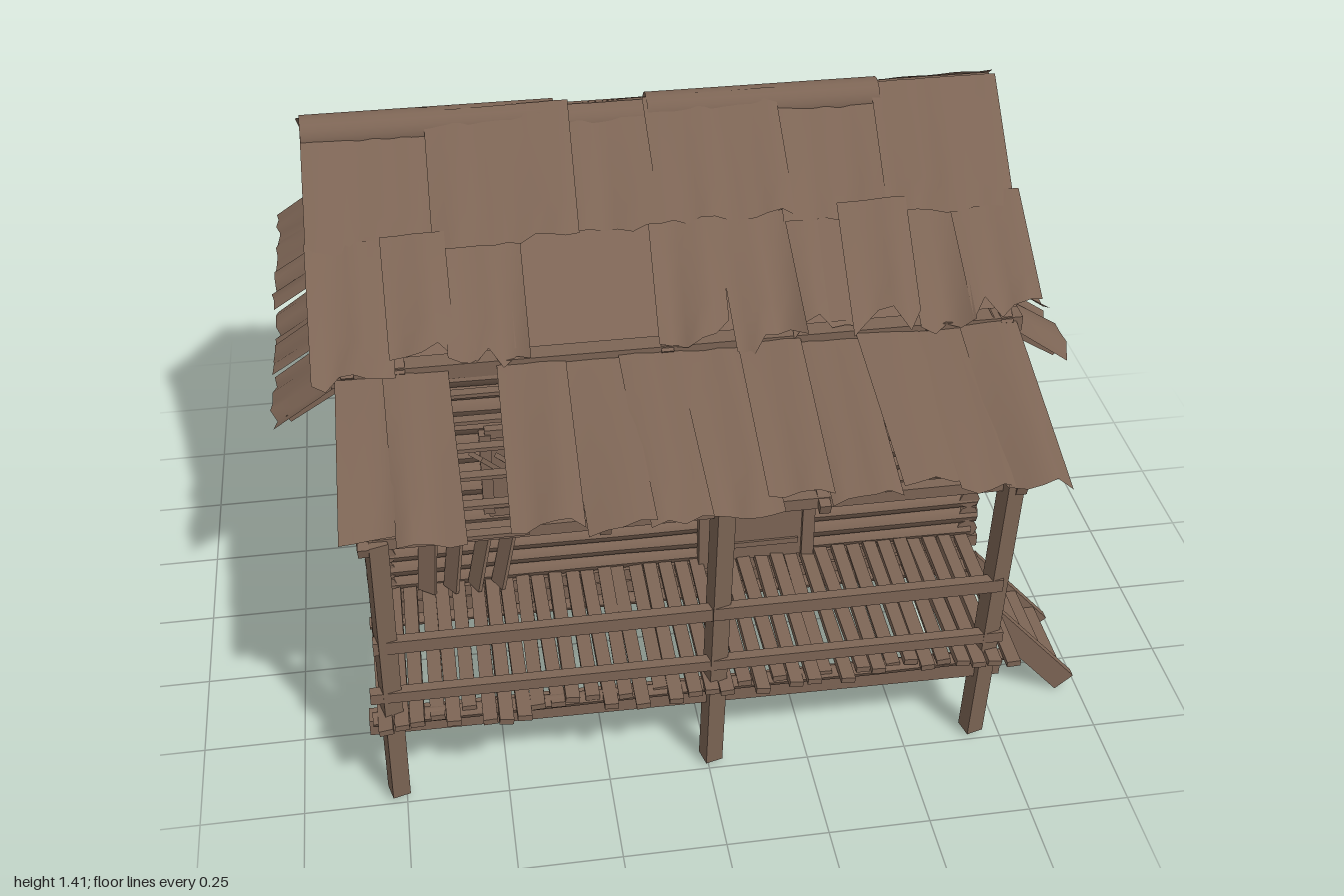
import * as THREE from 'three';

const V = (x, y, z) => new THREE.Vector3(x, y, z);

export function createModel() {
  const root = new THREE.Group();
  root.name = 'stiltCabin';
  const wood = new THREE.MeshStandardMaterial({ color: 0x7d6555, side: THREE.DoubleSide });
  wood.name = 'weatheredBrown';

  let seed = 11;
  const rnd = () => (seed = (seed * 16807) % 2147483647) / 2147483647;
  const jit = (a) => (rnd() * 2 - 1) * a;

  const group = (name, parent = root) => {
    const g = new THREE.Group();
    g.name = name;
    parent.add(g);
    return g;
  };
  const add = (parent, name, geo) => {
    const m = new THREE.Mesh(geo, wood);
    m.name = name;
    parent.add(m);
    return m;
  };
  const box = (parent, name, x0, x1, y0, y1, z0, z1) => {
    const m = add(parent, name, new THREE.BoxGeometry(x1 - x0, y1 - y0, z1 - z0));
    m.position.set((x0 + x1) / 2, (y0 + y1) / 2, (z0 + z1) / 2);
    return m;
  };
  // squared timber between two points
  const beam = (parent, name, a, b, w, h = w) => {
    const m = add(parent, name, new THREE.BoxGeometry(w, h, a.distanceTo(b)));
    m.position.copy(a).add(b).multiplyScalar(0.5);
    m.lookAt(b);
    return m;
  };
  // rough round log between two points, with uneven rings
  const log = (parent, name, a, b, r) => {
    const geo = new THREE.CylinderGeometry(r, r, a.distanceTo(b), 8, 5);
    const p = geo.attributes.position, scale = {};
    for (let i = 0; i < p.count; i++) {
      const key = p.getY(i).toFixed(3);
      scale[key] ??= 1 + jit(0.14);
      p.setX(i, p.getX(i) * scale[key]);
      p.setZ(i, p.getZ(i) * scale[key]);
    }
    geo.computeVertexNormals();
    const m = add(parent, name, geo);
    m.position.copy(a).add(b).multiplyScalar(0.5);
    m.quaternion.setFromUnitVectors(V(0, 1, 0), b.clone().sub(a).normalize());
    return m;
  };
  // warped sheet from a top corner, an across vector and a down vector
  const sheet = (parent, name, o, across, down, { warp = 0.012, ragged = 0.08, lift = 0 } = {}) => {
    const nx = Math.max(4, Math.round(across.length() / 0.035)), ny = 4;
    const geo = new THREE.PlaneGeometry(1, 1, nx, ny);
    const p = geo.attributes.position;
    const n = down.clone().cross(across).normalize();
    const cut = [], wave = [];
    for (let i = 0; i <= nx; i++) { cut.push(1 - rnd() * ragged); wave.push(jit(warp)); }
    for (let i = 0; i < p.count; i++) {
      const col = i % (nx + 1), v = 0.5 - p.getY(i), u = p.getX(i) + 0.5;
      const q = o.clone().addScaledVector(across, u).addScaledVector(down, v * cut[col]);
      q.addScaledVector(n, lift + wave[col] * (0.2 + v));
      p.setXYZ(i, q.x, q.y, q.z);
    }
    geo.computeVertexNormals();
    return add(parent, name, geo);
  };
  // row of overlapping sheets along x; section gives the top and bottom as [z, y]
  const roofRow = (name, xs, [z0, y0], [z1, y1], opts, skip = []) => {
    const g = group(name);
    for (let i = 0; i + 1 < xs.length; i++) {
      const k = 1 + jit(0.06), w = xs[i + 1] - xs[i] + 0.015;
      const down = V(jit(0.015), (y1 - y0) * k, (z1 - z0) * k);
      if (skip.includes(i)) continue;
      const sgn = z1 > z0 ? 1 : -1;
      const m = sheet(g, 'roofSheet', V(sgn > 0 ? xs[i] : xs[i] + w, y0, z0), V(sgn * w, jit(0.008), 0), down,
        { ...opts, lift: 0.008 + 0.009 * (i % 2) });
      m.position.y = rnd() * 0.004;
    }
    return g;
  };

  // Cabin body and log walls
  const cabin = group('cabin');
  box(cabin, 'cabinCore', -0.76, 0.76, 0.285, 0.98, -0.665, 0.285);
  for (let i = 0; i < 14; i++) {
    const y = 0.325 + i * 0.0475, e = () => 0.775 + jit(0.012), r = 0.028;
    log(cabin, 'frontLog', V(-e(), y + jit(0.005), 0.285), V(e(), y + jit(0.005), 0.285), r);
    log(cabin, 'backLog', V(-e(), y + jit(0.005), -0.665), V(e(), y + jit(0.005), -0.665), r);
    for (const s of [-1, 1])
      log(cabin, 'sideLog', V(s * 0.76, y + jit(0.005), 0.31), V(s * 0.76, y + jit(0.005), -0.69), r);
  }
  for (const z of [0.29, -0.67]) box(cabin, 'longSill', -0.79, 0.79, 0.27, 0.305, z - 0.025, z + 0.025);
  for (const x of [-0.765, 0.765]) box(cabin, 'shortSill', x - 0.025, x + 0.025, 0.27, 0.305, -0.695, 0.315);
  for (const z of [0.29, -0.6]) box(cabin, 'wallPlate', -0.84, 0.84, 0.95, 0.99, z - 0.025, z + 0.025);

  // Boarded windows, built facing +z
  const boardedWindow = (name, x, y, z, turn, w = 0.25, h = 0.24) => {
    const g = group(name);
    g.position.set(x, y, z);
    g.rotation.y = turn;
    for (const s of [-1, 1]) {
      box(g, 'jamb', s * w / 2 - 0.014, s * w / 2 + 0.014, -h / 2, h / 2, -0.02, 0.018);
      box(g, 'rail', -w / 2, w / 2, s * h / 2 - 0.012, s * h / 2 + 0.012, -0.02, 0.014);
    }
    box(g, 'pane', -w / 2, w / 2, -h / 2, h / 2, -0.02, -0.004);
    for (let i = 0; i < 4; i++) {
      const px = (i - 1.5) * w * 0.22;
      beam(g, 'board', V(px + jit(0.015), -h / 2 + jit(0.015), 0.012), V(px + jit(0.015), h / 2 + jit(0.015), 0.016), w * 0.17, 0.012);
    }
  };
  boardedWindow('frontWindow', -0.365, 0.67, 0.32, 0);
  for (const x of [-0.35, 0.35]) boardedWindow('backWindow', x, 0.67, -0.7, Math.PI);
  boardedWindow('leftWindow', -0.795, 0.67, -0.19, -Math.PI / 2, 0.32);
  for (let i = 0; i < 4; i++)
    beam(cabin, 'patchBoard', V(-0.66 + i * 0.06, 0.32, 0.34), V(-0.64 + i * 0.06 + jit(0.02), 0.5 + jit(0.03), 0.32), 0.05, 0.01);

  // Front door
  const frontDoor = group('frontDoor');
  box(frontDoor, 'doorLeaf', 0.07, 0.31, 0.31, 0.79, 0.3, 0.322);
  for (const x of [0.055, 0.325]) box(frontDoor, 'doorJamb', x - 0.016, x + 0.016, 0.3, 0.8, 0.29, 0.335);
  box(frontDoor, 'doorLintel', 0.04, 0.34, 0.78, 0.812, 0.29, 0.335);
  for (const y of [0.36, 0.6, 0.75]) box(frontDoor, 'doorBatten', 0.08, 0.3, y - 0.008, y + 0.008, 0.32, 0.328);
  box(frontDoor, 'doorHandle', 0.085, 0.1, 0.52, 0.56, 0.32, 0.34);

  // Side door: frame and a leaf bent outward at the bottom
  const sideDoor = group('sideDoor');
  for (const z of [-0.03, -0.335]) box(sideDoor, 'doorJamb', 0.75, 0.805, 0.29, 0.82, z - 0.02, z + 0.02);
  box(sideDoor, 'doorLintel', 0.75, 0.805, 0.785, 0.825, -0.355, -0.01);
  sheet(sideDoor, 'doorLeaf', V(0.792, 0.79, -0.045), V(0, 0, -0.275), V(0.016, -0.47, 0), { warp: 0.003, ragged: 0.01 });

  // Stilts and under-floor beams
  const stilts = group('stilts');
  for (const x of [-0.77, -0.07, 0.68])
    for (const z of [-0.165, -0.625]) box(stilts, 'stilt', x - 0.022, x + 0.022, 0.035, 0.3, z - 0.023, z + 0.023);
  beam(stilts, 'frontBeam', V(-0.82, 0.255, 0.715), V(0.73, 0.235, 0.715), 0.045);
  beam(stilts, 'middleBeam', V(-0.8, 0.245, 0.3), V(0.76, 0.235, 0.3), 0.04, 0.06);
  beam(stilts, 'rearBeam', V(-0.78, 0.262, -0.165), V(0.78, 0.262, -0.165), 0.04);

  // Porch deck of uneven planks
  const porch = group('porch');
  for (let i = 0; i < 38; i++) {
    const x = -0.785 + i * 0.0412, y = 0.298 + jit(0.006);
    const m = beam(porch, 'deckPlank', V(x + jit(0.006), y + 0.008, 0.3), V(x + jit(0.006), y + jit(0.01), 0.78 + jit(0.03)), 0.034, 0.016);
    m.rotateZ(jit(0.15));
  }
  for (const z of [0.4, 0.74]) log(porch, 'deckJoist', V(-0.81, 0.285, z), V(0.74, 0.28, z), 0.016);

  // Porch posts, rails and pickets
  for (const x of [-0.765, 0.012, 0.685])
    beam(porch, 'porchPost', V(x - 0.003, 0.015, 0.715), V(x + 0.008, 0.84, 0.755), 0.044);
  beam(porch, 'lowerRail', V(-0.81, 0.365, 0.745), V(0.72, 0.355, 0.745), 0.026, 0.03);
  beam(porch, 'upperRailLeft', V(-0.79, 0.525, 0.75), V(0.03, 0.525, 0.75), 0.026, 0.036);
  beam(porch, 'upperRailRight', V(0.0, 0.53, 0.755), V(0.7, 0.53, 0.755), 0.026, 0.036);
  beam(porch, 'sideRail', V(-0.775, 0.51, 0.32), V(-0.775, 0.525, 0.74), 0.024, 0.034);
  for (let i = 0; i < 6; i++) {
    const z = 0.37 + i * 0.062;
    beam(porch, 'picket', V(-0.78, 0.31, z - 0.01), V(-0.78 + jit(0.01), 0.59 + jit(0.02), z + i * 0.007), 0.02);
  }
  beam(porch, 'cornerPicket', V(-0.765, 0.31, 0.325), V(-0.765, 0.8, 0.325), 0.024);

  // Ladder at the end of the porch
  const ladder = group('ladder');
  for (const z of [0.37, 0.595]) beam(ladder, 'ladderSide', V(0.75, 0.27, z), V(0.965, 0.025, z), 0.024, 0.06);
  for (const y of [0.08, 0.145, 0.21]) {
    const x = 0.75 + (0.27 - y) * 0.88;
    box(ladder, 'rung', x - 0.03, x + 0.03, y - 0.01, y + 0.01, 0.37, 0.595);
  }

  // Rafters, ridge beam and tails
  const frame = group('roofFrame');
  for (const x of [-0.8, -0.68, -0.04, 0.61, 0.8]) {
    const tail = Math.abs(x) < 0.79 ? 0.04 : 0;
    beam(frame, 'frontRafter', V(x, 1.355, -0.2), V(x, 0.965, 0.31), 0.03, 0.04);
    beam(frame, 'backRafter', V(x, 1.355, -0.18), V(x, 0.92 - tail * 0.5, -0.775 - tail), 0.03, 0.04);
  }
  box(frame, 'ridgeBeam', -0.84, 0.84, 1.335, 1.37, -0.215, -0.175);
  for (const x of [-0.785, -0.25, 0.25, 0.71]) beam(frame, 'porchRafter', V(x, 0.945, 0.3), V(x, 0.825, 0.78), 0.026);
  beam(frame, 'porchPlate', V(-0.8, 0.83, 0.745), V(0.74, 0.83, 0.745), 0.03);
  for (let i = 0; i < 6; i++) {
    const t = i / 5;
    box(frame, 'porchBatten', -0.62, -0.42, 0.94 - t * 0.1, 0.95 - t * 0.1, 0.36 + t * 0.4, 0.385 + t * 0.4);
    box(frame, 'backBatten', -0.28, -0.1, 1.135 - t * 0.18, 1.15 - t * 0.18, -0.51 - t * 0.23, -0.485 - t * 0.23);
  }

  // Plain under-sheets on both slopes
  const under = group('underRoof');
  sheet(under, 'frontUnderSheet', V(-0.83, 1.375, -0.19), V(1.66, 0, 0), V(0, -0.37, 0.48), { warp: 0, ragged: 0 });
  sheet(under, 'backUnderSheet', V(0.85, 1.375, -0.19), V(-1.7, 0, 0), V(0, -0.35, -0.46), { warp: 0, ragged: 0 });

  // Overlapping patched roof sheets
  roofRow('frontUpperRoof', [-0.87, -0.57, -0.23, -0.03, 0.29, 0.55, 0.86], [-0.19, 1.39], [0.08, 1.165], { warp: 0.008, ragged: 0.06 });
  roofRow('frontLowerRoof', [-0.88, -0.7, -0.56, -0.38, -0.05, 0.11, 0.27, 0.42, 0.58, 0.7, 0.87], [0.05, 1.185], [0.345, 0.97], { warp: 0.014, ragged: 0.2 }, [3]);
  roofRow('backUpperRoof', [-0.88, -0.58, -0.27, 0.0, 0.3, 0.56, 0.86], [-0.19, 1.39], [-0.47, 1.165], { warp: 0.008, ragged: 0.08 });
  roofRow('backLowerRoof', [-0.89, -0.72, -0.6, -0.48, -0.38, -0.26, -0.12, 0.02, 0.14, 0.26, 0.4, 0.54, 0.7, 0.85], [-0.45, 1.18], [-0.79, 0.92], { warp: 0.016, ragged: 0.15 }, [5, 11]);
  roofRow('porchRoof', [-0.83, -0.72, -0.58, -0.45, -0.3, -0.16, -0.02, 0.13, 0.27, 0.42, 0.56, 0.68, 0.81], [0.3, 0.965], [0.8, 0.845], { warp: 0.012, ragged: 0.05 }, [2]);

  // Ridge caps
  const caps = group('ridgeCaps');
  for (const [x0, x1, y] of [[-0.87, -0.25, 1.358], [-0.27, 0.0, 1.345], [-0.02, 0.57, 1.358], [0.55, 0.865, 1.348]]) {
    const c = add(caps, 'ridgeCap', new THREE.CylinderGeometry(0.05, 0.05, x1 - x0, 10, 1, true, 0, Math.PI));
    c.rotation.z = Math.PI / 2;
    c.position.set((x0 + x1) / 2, y, -0.192);
  }

  // Side awnings over the gable walls
  for (const s of [-1, 1]) {
    const g = group(s > 0 ? 'leftAwning' : 'rightAwning');
    const zs = [0.31, 0.1, -0.03, -0.2, -0.36, -0.53, -0.69];
    for (let i = 0; i < 6; i++) {
      const w = zs[i] - zs[i + 1] + 0.015;
      sheet(g, 'awningSheet', V(s * 0.765, 0.995, s > 0 ? zs[i] : zs[i] - w), V(0, 0, -s * w), V(s * 0.225, -0.15 + jit(0.006), 0),
        { warp: 0.009, ragged: 0.06, lift: 0.008 * (i % 2) });
    }
    for (const z of [0.27, -0.17, -0.64]) beam(g, 'awningBracket', V(s * 0.76, 0.97, z), V(s * 0.95, 0.85, z), 0.02);
  }
  return root;
}
